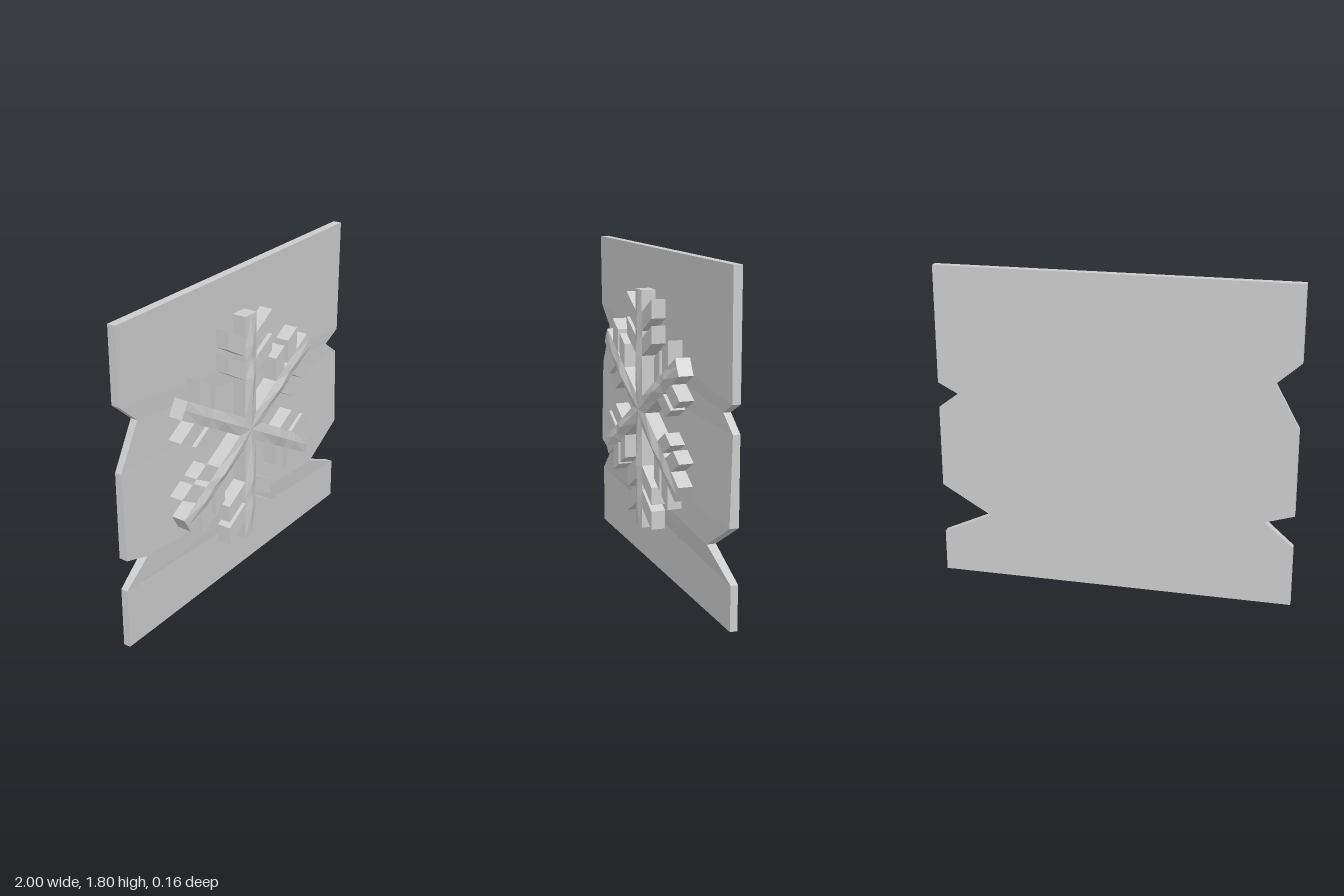
import * as THREE from 'three';

const material = new THREE.MeshStandardMaterial({ color: 0xcccccc, flatShading: true });

// Skins a row of rings (same point count, counter-clockwise about the row's direction) and caps both ends.
function loft(rings) {
  const pos = [];
  const tri = (a, b, c) => pos.push(...a, ...b, ...c);
  const n = rings[0].length;
  for (let i = 0; i < rings.length - 1; i++) {
    const lo = rings[i], hi = rings[i + 1];
    for (let j = 0; j < n; j++) {
      const k = (j + 1) % n;
      tri(lo[j], lo[k], hi[k]);
      tri(lo[j], hi[k], hi[j]);
    }
  }
  const first = rings[0], last = rings[rings.length - 1];
  for (let j = 1; j < n - 1; j++) {
    tri(first[0], first[j + 1], first[j]);
    tri(last[0], last[j], last[j + 1]);
  }
  const g = new THREE.BufferGeometry();
  g.setAttribute('position', new THREE.Float32BufferAttribute(pos, 3));
  g.computeVertexNormals();
  return g;
}

function addMesh(parent, name, geometry) {
  const mesh = new THREE.Mesh(geometry, material);
  mesh.name = name;
  parent.add(mesh);
  return mesh;
}

const BACK = -0.019, FRONT = 0.061, HALF = 0.05;

// Ridged arm along +y, pointed at the hub so six of them meet cleanly
function armGeometry() {
  const stations = [ // distance, half width, side height, ridge height
    [0, 0, 0.066, 0.066],
    [HALF * Math.sqrt(3), HALF, FRONT, 0.069],
    [0.31, HALF, FRONT, 0.081],
    [0.41, HALF, FRONT, 0.07],
    [0.49, HALF, FRONT, 0.075],
    [0.665, HALF, FRONT, 0.063],
  ];
  return loft(stations.map(([r, w, side, ridge]) => [
    [-w, r, side], [0, r, ridge], [w, r, side], [w, r, BACK], [-w, r, BACK],
  ]));
}

// Slanted barb reaching from the arm's side out to the given distance
function barbGeometry(side, inner, outer, reach) {
  const rise = (reach - HALF) / Math.sqrt(3);
  const shape = new THREE.Shape([
    [HALF, inner], [reach, inner + rise], [reach, outer + rise], [HALF, outer],
  ].map(([x, y]) => new THREE.Vector2(side * x, y)));
  const g = new THREE.ExtrudeGeometry(shape, { depth: FRONT - BACK, bevelEnabled: false });
  return g.translate(0, 0, BACK);
}

export function createModel() {
  const model = new THREE.Group();
  model.name = 'snowflakeSign';

  // Board with notched sides: left x, left y, right x, right y, front z
  const rows = [
    [-1, 0, 1, 0, -0.041],
    [-1, 0.345, 1, 0.24, -0.041],
    [-0.84, 0.48, 0.72, 0.365, -0.031],
    [-1, 0.53, 1, 0.53, -0.031],
    [-1, 1.02, 1, 0.995, -0.042],
    [-0.865, 1.265, 0.885, 1.08, -0.041],
    [-1, 1.385, 1, 1.14, -0.037],
    [-1, 1.8, 1, 1.8, -0.033],
  ];
  addMesh(model, 'board', loft(rows.map(([lx, ly, rx, ry, z]) => [
    [lx, ly, z], [rx, ry, z], [rx, ry, -0.081], [lx, ly, -0.081],
  ])));

  // Snowflake: six arms, the upright pair with longer barbs
  const snowflake = new THREE.Group();
  snowflake.name = 'snowflake';
  snowflake.position.set(-0.045, 0.915, 0);
  model.add(snowflake);
  for (let i = 0; i < 6; i++) {
    const arm = new THREE.Group();
    arm.name = 'snowflakeArm';
    arm.rotation.z = i * Math.PI / 3;
    snowflake.add(arm);
    addMesh(arm, 'armSpine', armGeometry());
    const reach = i % 3 === 0 ? 0.2 : 0.165;
    for (const side of [-1, 1]) {
      addMesh(arm, 'outerBarb', barbGeometry(side, 0.443, 0.546, reach));
      addMesh(arm, 'innerBarb', barbGeometry(side, 0.308, 0.405, reach));
    }
  }
  return model;
}
